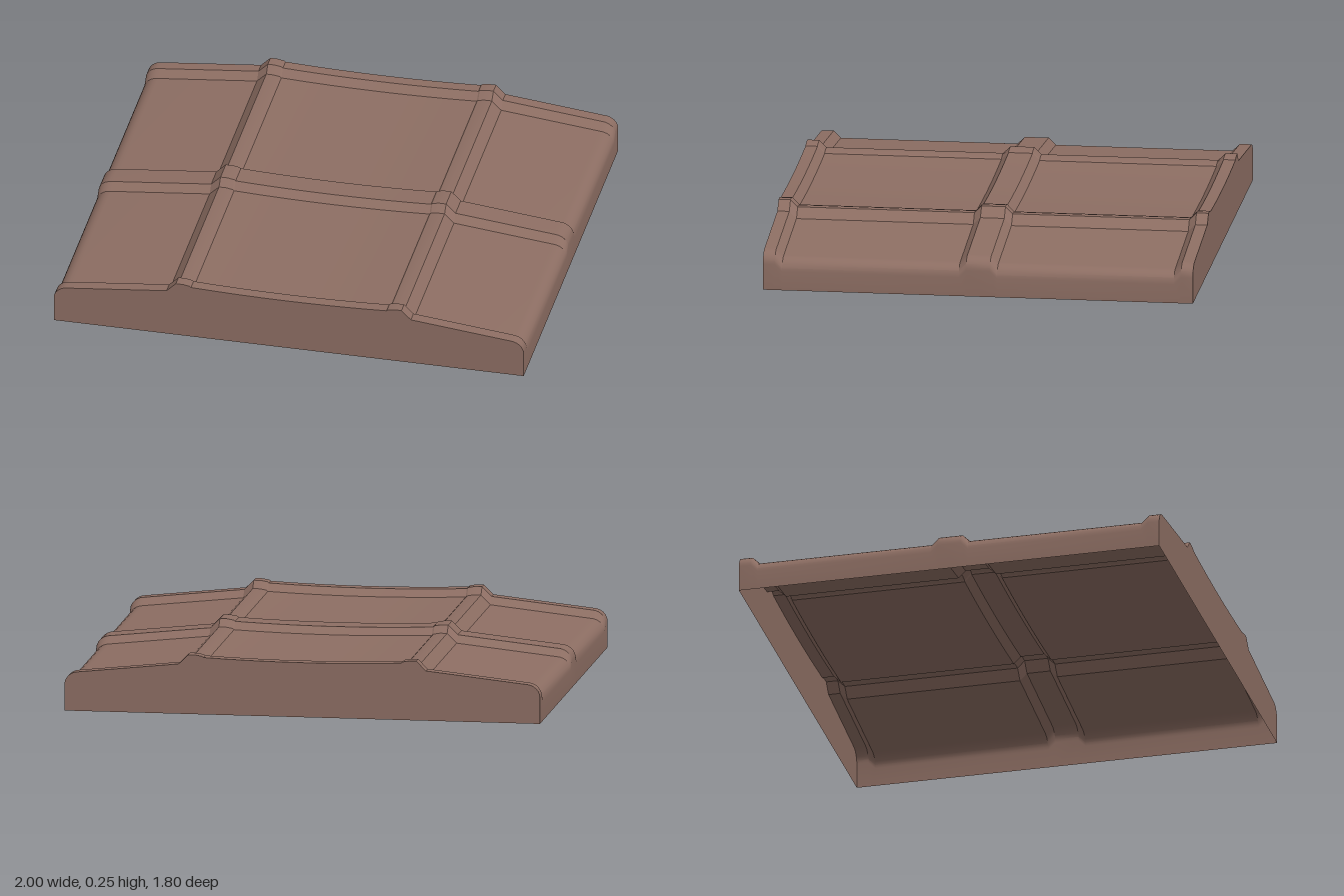
import * as THREE from 'three';
import { toCreasedNormals } from 'three/addons/utils/BufferGeometryUtils.js';

// Half profile across the panel, from the centre line out to the bottom edge
function halfProfile() {
  const half = [];
  // gently dished middle
  for (let i = 0; i <= 4; i++) {
    const t = i / 4;
    half.push([0.416 * t, 0.23 + 0.01 * t * t]);
  }
  // long rib, then the slope to the rim
  half.push([0.422, 0.245], [0.45, 0.25], [0.48, 0.25], [0.52, 0.21]);
  // rounded rim
  for (let i = 0; i <= 6; i++) {
    const a = (i / 6) * Math.PI / 2;
    half.push([0.94 + 0.06 * Math.sin(a), 0.11 + 0.055 * Math.cos(a)]);
  }
  half.push([1, 0]);
  return half;
}

export function createModel() {
  const group = new THREE.Group();
  const material = new THREE.MeshStandardMaterial({ color: 0x8d6e63, side: THREE.DoubleSide });

  const half = halfProfile();
  const profile = [...half.slice(1).reverse().map(([x, y]) => [-x, y]), ...half];

  // Stations along the depth: [z, drop]; the cross ribs are where nothing drops
  const front = [[0.05, 0], [0.08, 0.03], [0.82, 0.03], [0.85, 0], [0.9, 0]];
  const stations = [...front.map(([z, d]) => [-z, d]).reverse(), ...front];

  // Upper skin swept through the stations
  const positions = [];
  const index = [];
  const n = profile.length;
  stations.forEach(([z, drop]) => {
    for (const [x, y] of profile) positions.push(x, y > 0 ? y - drop : 0, z);
  });
  for (let j = 0; j < stations.length - 1; j++) {
    for (let i = 0; i < n - 1; i++) {
      const a = j * n + i, b = a + n;
      index.push(a, b, a + 1, a + 1, b, b + 1);
    }
  }
  const skin = new THREE.BufferGeometry();
  skin.setAttribute('position', new THREE.Float32BufferAttribute(positions, 3));
  skin.setIndex(index);
  const skinMesh = new THREE.Mesh(toCreasedNormals(skin, 0.4), material);
  skinMesh.name = 'ribbedSkin';
  group.add(skinMesh);

  // Flat end walls; the underside stays open
  const shape = new THREE.Shape(profile.map(([x, y]) => new THREE.Vector2(x, y)));
  const wall = new THREE.ShapeGeometry(shape);
  for (const [name, z, turn] of [['frontWall', 0.9, 0], ['backWall', -0.9, Math.PI]]) {
    const mesh = new THREE.Mesh(wall, material);
    mesh.name = name;
    mesh.position.z = z;
    mesh.rotation.y = turn;
    group.add(mesh);
  }
  return group;
}
